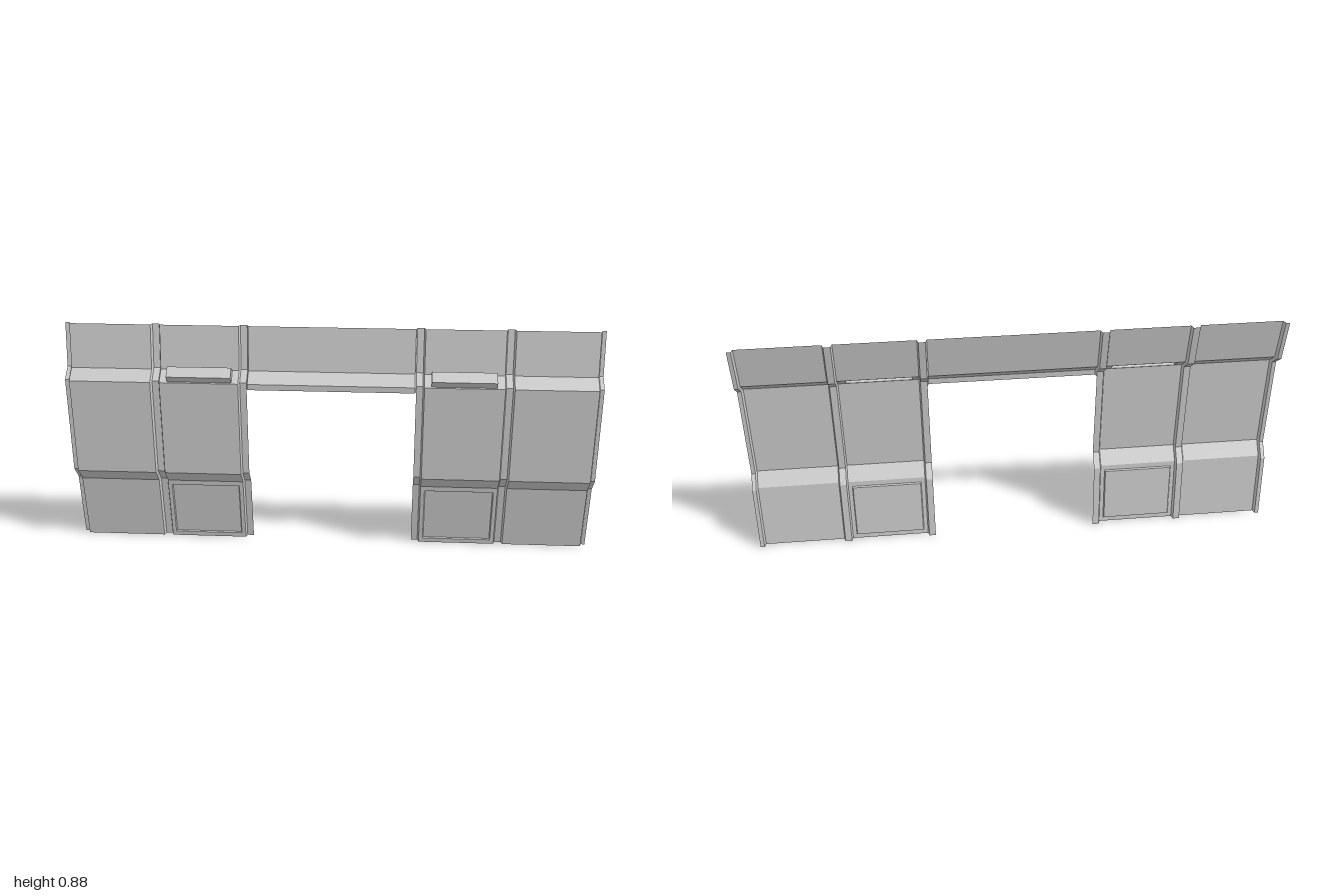
import * as THREE from 'three';

const material = new THREE.MeshStandardMaterial({ color: 0xcccccc, flatShading: true, side: THREE.DoubleSide });

// Folded side profile of the sheet, as [y, z] from bottom to top
const PROFILE = [[0, -0.033], [0.255, -0.005], [0.305, 0.037], [0.672, 0.037], [0.71, -0.008], [0.875, -0.033]];
const RIB_DEPTH = 0.017;

// Faceted mesh from a list of four-cornered faces
function quadMesh(name, quads) {
  const positions = quads.flatMap(([a, b, c, d]) => [a, b, c, a, c, d].flat());
  const geometry = new THREE.BufferGeometry();
  geometry.setAttribute('position', new THREE.Float32BufferAttribute(positions, 3));
  geometry.computeVertexNormals();
  const mesh = new THREE.Mesh(geometry, material);
  mesh.name = name;
  return mesh;
}

// Sheet following rows of [y, z] across columns of [x, z offset]
function sheet(columns, rows) {
  const quads = [];
  const at = ([x, dz], [y, z]) => [x, y, z + dz];
  for (let i = 0; i + 1 < columns.length; i++) {
    for (let j = 0; j + 1 < rows.length; j++) {
      const [c, d] = [columns[i], columns[i + 1]];
      quads.push([at(c, rows[j]), at(d, rows[j]), at(d, rows[j + 1]), at(c, rows[j + 1])]);
    }
  }
  return quads;
}

const flat = (x0, x1) => [[x0, 0], [x1, 0]];

// Four faces between an outer and an inner loop of corners
const ring = (outer, inner) => outer.map((p, i) => {
  const k = (i + 1) % 4;
  return [p, outer[k], inner[k], inner[i]];
});

// Lower sheet with a shallow inset field
function insetSheet(x0, x1) {
  const [[yA, zA], [yB, zB]] = PROFILE;
  const rect = (l, r, b, t, depth) => [[l, b], [r, b], [r, t], [l, t]].map(([x, y]) =>
    [x, y, zA + (zB - zA) * (y - yA) / (yB - yA) - depth]);
  const outer = rect(x0, x1, yA, yB, 0);
  const rim = rect(x0 + 0.015, x1 - 0.015, 0.018, 0.235, 0);
  const floor = rect(x0 + 0.018, x1 - 0.018, 0.021, 0.232, 0.006);
  return [...ring(outer, rim), ...ring(rim, floor), floor];
}

// One side of the wall, built at +x
function buildSide(name) {
  const side = new THREE.Group();
  side.name = name;

  side.add(quadMesh('outerPanel', sheet(flat(0.675, 0.98), PROFILE)));

  // Inner panel, with an opening in its upper slope behind the hood
  const lip = [[0.675, 0.0334], [0.708, -0.0056]];
  side.add(quadMesh('innerPanel', [
    ...insetSheet(0.345, 0.64),
    ...sheet(flat(0.345, 0.64), [...PROFILE.slice(1, 4), lip[0]]),
    ...sheet(flat(0.345, 0.37), lip),
    ...sheet(flat(0.61, 0.64), lip),
    ...sheet(flat(0.345, 0.64), [lip[1], ...PROFILE.slice(4)]),
  ]));

  // Hollow hood, open to the back
  const section = [lip[0], [0.7, 0.053], [0.73, 0.02], lip[1]];
  side.add(quadMesh('ventHood', [
    ...sheet(flat(0.37, 0.61), section),
    section.map(([y, z]) => [0.37, y, z]).reverse(),
    section.map(([y, z]) => [0.61, y, z]),
  ]));

  // Pressed channels, grooved in front and raised behind
  const d = -RIB_DEPTH;
  side.add(quadMesh('middleRib', sheet([[0.64, 0], [0.645, d], [0.67, d], [0.675, 0]], PROFILE)));
  side.add(quadMesh('doorwayRib', sheet([[0.315, d], [0.34, d], [0.345, 0]], PROFILE)));
  side.add(quadMesh('edgeFlange', sheet([[0.98, 0], [0.985, d], [1, d]], PROFILE)));
  return side;
}

export function createModel() {
  const model = new THREE.Group();
  model.name = 'foldedWallPanel';

  const left = buildSide('leftSide');
  const right = buildSide('rightSide');
  right.scale.x = -1;
  model.add(left, right);

  // Strip over the doorway, joined to the ribs on both sides
  const d = -RIB_DEPTH;
  const rows = [[0.65, 0.037], ...PROFILE.slice(3)];
  model.add(quadMesh('doorwayHeader', sheet([[-0.315, d], [-0.31, 0], [0.31, 0], [0.315, d]], rows)));
  return model;
}
